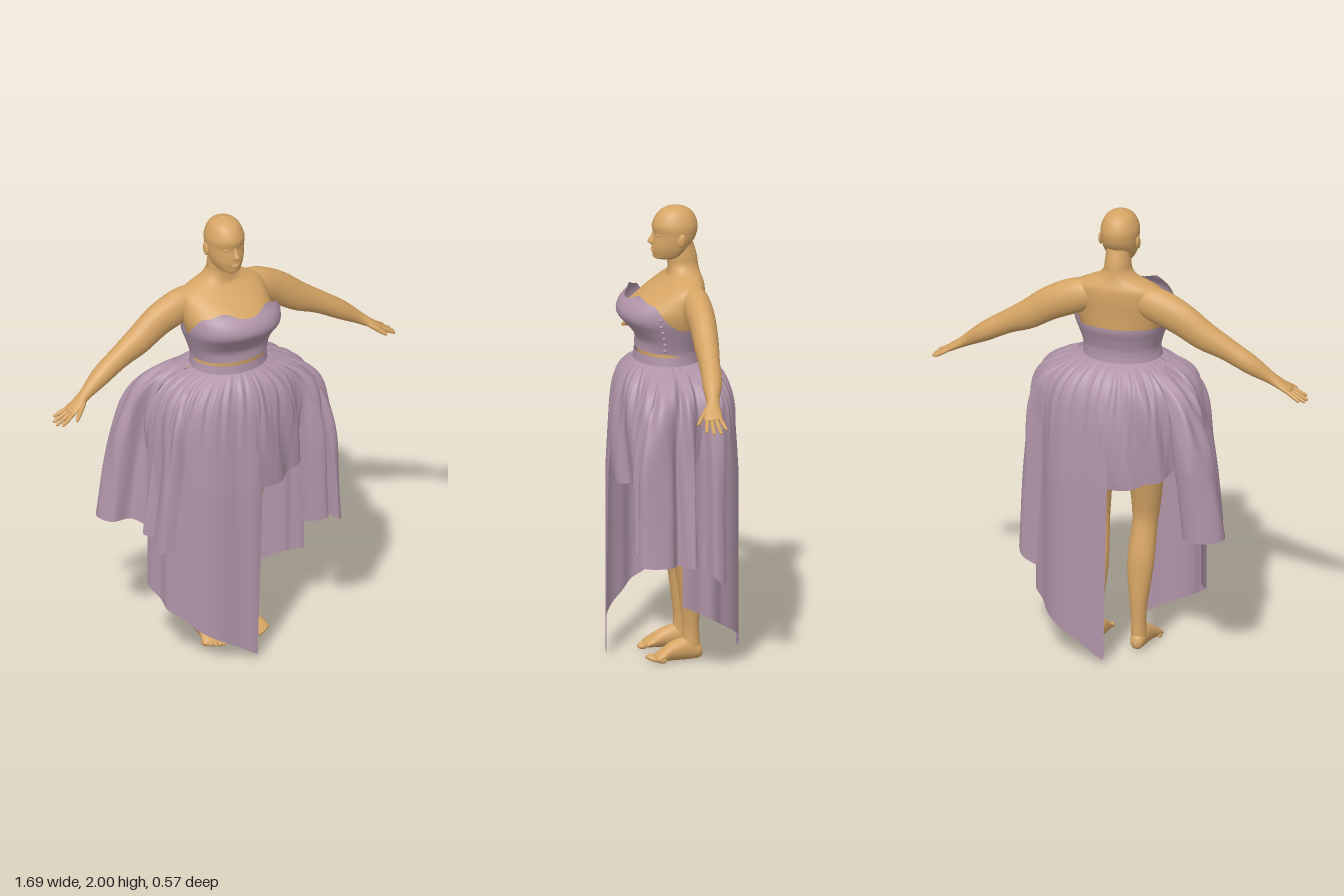
import * as THREE from 'three';

const skin = new THREE.MeshStandardMaterial({ color: 0xd6a565 });
const cloth = new THREE.MeshStandardMaterial({ color: 0xb094a8, side: THREE.DoubleSide });
const V = (x, y, z) => new THREE.Vector3(x, y, z);
const X = V(1, 0, 0), Y = V(0, 1, 0), Z = V(0, 0, 1);
const { lerp, smoothstep, clamp } = THREE.MathUtils;
const spow = (v, e) => Math.sign(v) * Math.pow(Math.abs(v), e);

// Grid surface from fn(u, v); closed joins the last column to the first
function surface(fn, nu, nv, closed = false) {
  const pos = [], idx = [], cols = closed ? nu : nu + 1;
  for (let i = 0; i <= nv; i++)
    for (let j = 0; j < cols; j++) pos.push(...fn(j / nu, i / nv).toArray());
  for (let i = 0; i < nv; i++)
    for (let j = 0; j < nu; j++) {
      const k = (j + 1) % cols, a = i * cols + j, b = i * cols + k;
      idx.push(a, b, a + cols, b, b + cols, a + cols);
    }
  const g = new THREE.BufferGeometry();
  g.setAttribute('position', new THREE.Float32BufferAttribute(pos, 3));
  g.setIndex(idx);
  g.computeVertexNormals();
  return g;
}

// Smooth interpolation through rows of numbers
function sample(rows, t) {
  const n = rows.length - 1, i = Math.min(Math.floor(t * n), n - 1), w = t * n - i;
  const row = k => rows[Math.max(0, Math.min(n, k))];
  return rows[0].map((_, c) => {
    const [p, a, b, q] = [row(i - 1)[c], row(i)[c], row(i + 1)[c], row(i + 2)[c]];
    return a + 0.5 * w * (b - p + w * (2 * p - 5 * a + 4 * b - q + w * (3 * (a - b) + q - p)));
  });
}

// Rows [x, y, z, radius along A, radius along +B, radius along -B], mirrored by s
function limb(rows, A, B, s = 1, nu = 24) {
  const m = v => V(v.x * s, v.y, v.z), a = m(A), b = m(B);
  const f = rows[0], l = rows[rows.length - 1];
  const dir = V(s * (l[0] - f[0]), l[1] - f[1], l[2] - f[2]);
  const turn = Math.sign(a.clone().cross(b).dot(dir));
  return surface((u, v) => {
    const [x, y, z, ra, rb, rc = rb] = sample(rows, v), t = turn * u * Math.PI * 2;
    const d = Math.sin(t);
    return V(x * s, y, z).addScaledVector(a, Math.cos(t) * ra).addScaledVector(b, d * (d > 0 ? rb : rc));
  }, nu, rows.length * 5, true);
}

export function createModel() {
  const root = new THREE.Group();
  const add = (name, geo, mat = skin, parent = root) => {
    const m = new THREE.Mesh(geo, mat);
    m.name = name;
    parent.add(m);
    return m;
  };
  const ball = (name, p, r, mat = skin, parent = root, rot = 0) => {
    const m = add(name, new THREE.SphereGeometry(1, 16, 12), mat, parent);
    m.position.set(...p);
    m.scale.set(...r);
    m.rotation.x = rot;
  };

  // Head and face
  add('head', limb([[0, 2, -.015, .003, .003, .003], [0, 1.99, -.015, .04, .045, .045],
    [0, 1.965, -.015, .066, .08, .077], [0, 1.92, -.015, .083, .102, .095], [0, 1.88, -.015, .082, .097, .092],
    [0, 1.85, -.012, .079, .098, .082], [0, 1.82, -.008, .073, .097, .062], [0, 1.79, 0, .06, .085, .05],
    [0, 1.772, .012, .043, .066, .04], [0, 1.762, .02, .004, .006, .006]], X, Z, 1, 36));
  add('nose', limb([[0, 1.9, .074, .005, .005], [0, 1.87, .082, .009, .012], [0, 1.85, .089, .013, .018],
    [0, 1.838, .086, .014, .014], [0, 1.832, .082, .002, .002]], X, Z, 1, 14));
  ball('upperLip', [0, 1.812, .081], [.022, .005, .013]);
  ball('lowerLip', [0, 1.803, .079], [.019, .006, .013]);
  for (const s of [1, -1]) {
    ball('eye', [s * .034, 1.88, .062], [.015, .008, .012]);
    ball('ear', [s * .084, 1.862, -.025], [.009, .03, .018], skin, root, -.25);
  }

  // Neck, sloping shoulders and trunk
  add('torso', limb([[0, 1.84, -.04, .05, .045, .05], [0, 1.78, -.043, .056, .066, .064],
    [0, 1.74, -.045, .062, .064, .067], [0, 1.71, -.05, .09, .07, .068], [0, 1.69, -.052, .14, .08, .072],
    [0, 1.66, -.05, .19, .115, .083], [0, 1.61, -.03, .202, .17, .105], [0, 1.54, 0, .2, .212, .13],
    [0, 1.45, .01, .175, .15, .135], [0, 1.37, .02, .156, .13, .125], [0, 1.25, 0, .19, .14, .14],
    [0, 1.08, -.01, .225, .14, .16], [0, .93, -.01, .16, .1, .11], [0, .88, -.01, .02, .02, .02]], X, Z, 1, 40));

  for (const s of [1, -1]) {
    // Arm, palm and fingers
    const arm = new THREE.Group();
    arm.name = s > 0 ? 'leftArm' : 'rightArm';
    root.add(arm);
    const up = V(.5, .87, 0);
    add('armAndPalm', limb([[.05, 1.645, -.06, .03, .03], [.125, 1.622, -.066, .053, .068],
      [.2, 1.594, -.068, .062, .078], [.3, 1.548, -.071, .057, .073], [.4, 1.482, -.066, .053, .064],
      [.5, 1.43, -.058, .045, .05], [.6, 1.37, -.048, .042, .042], [.68, 1.317, -.033, .028, .027],
      [.725, 1.287, -.022, .037, .019], [.765, 1.263, -.018, .039, .014], [.775, 1.258, -.018, .01, .004]],
    Z, up, s, 20), skin, arm);
    const finger = (a, b, r) => {
      const at = (t, k) => [...a.map((c, i) => lerp(c, b[i], t)), r * k, r * k];
      add('finger', limb([at(0, 1), at(.5, 1), at(.93, .75), at(1, .05)], Z, up, s, 8), skin, arm);
    };
    [[.83, .025], [.842, -.005], [.84, -.036], [.822, -.063]].forEach(([x, z], i) =>
      finger([.755, 1.268, .008 - i * .018], [x, 1.22 + (.84 - x) * .6, z], .009));
    finger([.705, 1.295, 0], [.775, 1.245, .052], .011);

    // Leg, foot and toes
    const leg = new THREE.Group();
    leg.name = s > 0 ? 'leftLeg' : 'rightLeg';
    root.add(leg);
    add('leg', limb([[.1, 1.05, -.02, .1, .11], [.11, .85, -.01, .083, .092], [.113, .72, 0, .07, .077],
      [.11, .61, .004, .059, .06], [.107, .55, -.004, .055, .056], [.103, .43, -.035, .059, .05, .06],
      [.1, .34, -.048, .055, .045, .056], [.098, .22, -.058, .04, .04], [.098, .13, -.062, .033, .035],
      [.1, .05, -.06, .034, .042]], X, Z, s), skin, leg);
    add('foot', limb([[.1, .035, -.112, .004, .004], [.1, .037, -.1, .026, .03], [.1, .05, -.05, .036, .05],
      [.104, .042, .02, .041, .042], [.112, .025, .07, .048, .025], [.114, .016, .095, .045, .015],
      [.114, .012, .105, .01, .005]], X, Y, s, 20), skin, leg);
    for (let i = 0; i < 5; i++)
      ball('toe', [s * (.08 + i * .018), .013, .113 - i * i * .0025], [i ? .009 : .013, .012, .02], skin, leg);
  }

  // Strapless bodice with a sweetheart top edge and a low back
  const bust = [[.02, .168, .14, .137], [.02, .182, .14, .15], [.02, .2, .175, .167],
    [.02, .216, .217, .165], [.02, .214, .208, .157], [.02, .2, .165, .15]];
  const bodiceAt = (t, y) => {
    const [cz, rx, rf, rb] = sample(bust, clamp((y - 1.38) / .25, 0, 1));
    const c = Math.cos(t), d = Math.sin(t);
    return V(spow(c, .9) * rx, y, cz + spow(d, .85) * (d > 0 ? rf : rb));
  };
  add('bodice', surface((u, v) => {
    const t = -u * Math.PI * 2, d = Math.sin(t);
    const peak = d > 0 ? .03 * Math.exp(-(((Math.abs(Math.cos(t)) - .5) / .25) ** 2)) : 0;
    const bottom = lerp(1.355, 1.383, smoothstep(d, -.5, .3));
    return bodiceAt(t, lerp(bottom, 1.495 + .11 * smoothstep(d, -.1, .5) + peak, v));
  }, 72, 20, true), cloth);
  for (let i = 0; i < 6; i++)
    ball('sideFastener', bodiceAt(.28, 1.4 + i * .03).toArray(), [.007, .008, .009], cloth);

  // Waistband
  add('waistband', limb([[0, 1.368, .023, .168, .14, .137], [0, 1.34, .023, .172, .143, .14],
    [0, 1.305, .023, .178, .147, .145]], X, Z, 1, 48), cloth);

  // Skirt panels; a runs from the front centre round the side to the back
  const panel = (name, s, start, a1, hem, puff) => add(name, surface((u, v) => {
    const a = lerp(start(v), a1, u) * Math.PI / 180, y = lerp(1.33, hem(u), v ** 1.35), d = 1.33 - y;
    const f = 1 - Math.exp(-d / .065);
    const gather = .05 * f * Math.exp(-d / .12) * (Math.sin(33 * a + 2) + .5 * Math.sin(57 * a + 9 * y));
    const broad = (.02 + .02 * puff) * f * Math.sin(11 * a + 1 + puff * 6 * v + Math.sin(5 * a));
    const r = 1 + gather + broad + puff * (.03 * Math.sin(Math.PI * v) - .05 * v);
    const rx = (.172 + .193 * f) * r, rz = (.145 + .107 * f + .028 * Math.min(1, d / .5)) * r;
    return V(-s * rx * spow(Math.sin(a), .96), y, s * rz * spow(Math.cos(a), .96) + .022 * (1 - f));
  }, 120, 44), cloth);
  for (const s of [1, -1]) {
    const side = s > 0 ? 'front' : 'back';
    panel(side + 'LongPanel', s, v => lerp(-6, s * 1.5, v), 96, u => .015 + .3 * u ** .9, 0);
    panel(side + 'ShortPanel', -s, () => 98, 182, u => .8 + .15 * (1 - u) ** 2, 1);
  }

  // Gathered side drapes: a folded hem outline drawn in to the waist
  const drape = (name, s, plan, hem, keep) => add(name, surface((u, v) => {
    const [x, z] = sample(plan, u);
    const y = lerp(1.315, sample(hem, u)[0], v ** 1.25), d = 1.315 - y;
    const f = 1 - Math.exp(-d / .06);
    const k = lerp(.46, keep, f) + (1 - keep) * v;
    const fold = .04 * f * Math.exp(-d / .28) * (Math.sin(u * 33 + 5 * v) + .6 * Math.sin(u * 61 - 11 * v));
    const soft = lerp(.35, 1, smoothstep(v, 0, .65));
    const ang = lerp(.75, -.55, u);
    const mx = lerp(.41 * Math.cos(ang) + .05, x, soft), mz = lerp(.33 * Math.sin(ang), z, soft);
    return V(s * mx * (k + fold), y, s * mz * (lerp(.6, 1, f) + fold));
  }, 130, 44), cloth);
  drape('leftDrape', 1, [[.28, .15], [.31, .22], [.37, .24], [.39, .17], [.42, .23], [.455, .2], [.45, .1],
    [.4, .06], [.43, .03], [.45, -.01], [.38, -.02], [.36, -.07], [.42, -.1], [.4, -.15], [.33, -.15]],
  [[.53], [.56], [.52], [.51], [.5], [.46], [.36]], .86);
  drape('rightDrape', -1, [[.33, .15], [.36, .24], [.45, .27], [.52, .21], [.5, .12], [.41, .11],
    [.38, .04], [.41, .0], [.37, -.04], [.41, -.08], [.41, -.15], [.35, -.17]],
  [[.6], [.605], [.6], [.56], [.55]], .74);

  return root;
}
